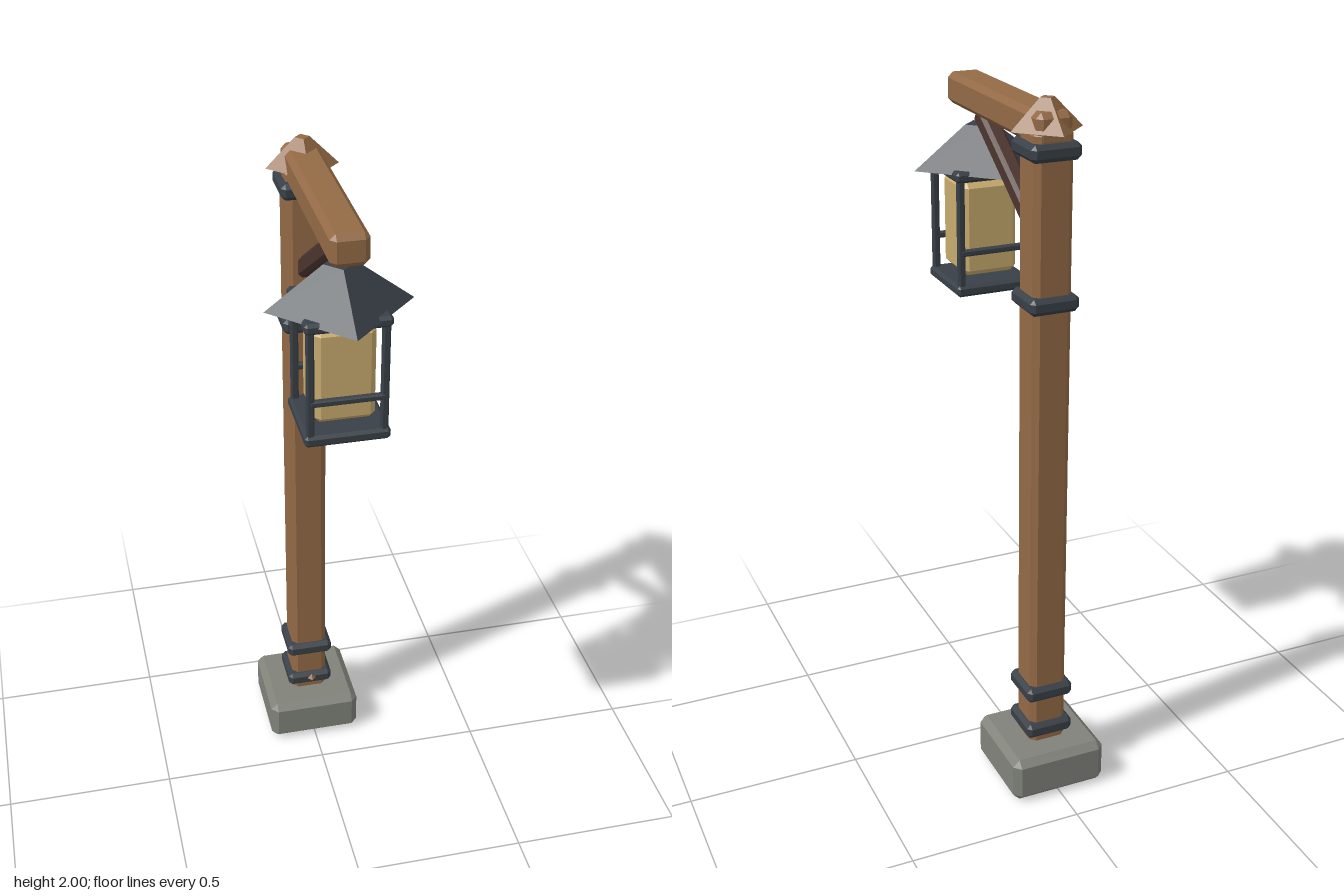
import * as THREE from 'three';
import { ConvexGeometry } from 'three/addons/geometries/ConvexGeometry.js';

const material = (name, color) => {
  const m = new THREE.MeshStandardMaterial({ color, flatShading: true });
  m.name = name;
  return m;
};

// Box with every edge cut by a flat chamfer
function chamferBox(w, h, d, c) {
  const points = [];
  for (const x of [-1, 1]) for (const y of [-1, 1]) for (const z of [-1, 1]) {
    const [a, b, e] = [w / 2, h / 2, d / 2];
    points.push(
      new THREE.Vector3(x * a, y * (b - c), z * (e - c)),
      new THREE.Vector3(x * (a - c), y * b, z * (e - c)),
      new THREE.Vector3(x * (a - c), y * (b - c), z * e)
    );
  }
  return new ConvexGeometry(points);
}

export function createModel() {
  const wood = material('wood', 0x946a46);
  const darkWood = material('dark wood', 0x4c352f);
  const iron = material('iron', 0x394047);
  const stone = material('stone', 0x80827a);
  const glass = material('lamp glass', 0xc8ab6f);

  const model = new THREE.Group();
  model.name = 'lampPost';
  const add = (parent, name, geometry, mat, x, y, z) => {
    const mesh = new THREE.Mesh(geometry, mat);
    mesh.name = name;
    mesh.position.set(x, y, z);
    parent.add(mesh);
    return mesh;
  };

  // Stone foot and wooden post
  const postZ = -0.247;
  add(model, 'foot', chamferBox(0.284, 0.135, 0.284, 0.02), stone, 0, 0.0675, postZ);
  add(model, 'post', chamferBox(0.11, 1.83, 0.11, 0.016), wood, 0, 1.015, postZ);

  // Iron bands round the post
  for (const y of [0.175, 0.297, 1.475, 1.873])
    add(model, 'band', chamferBox(0.14, 0.046, 0.14, 0.012), iron, 0, y, postZ);

  // Small pegs in front of the lowest and highest bands
  for (const y of [0.195, 1.87])
    add(model, 'peg', new THREE.OctahedronGeometry(0.014), wood, 0, y, -0.16);

  // Pointed cap and overhanging beam
  add(model, 'cap', new THREE.CylinderGeometry(0.02, 0.1, 0.08, 4), wood, 0, 1.96, postZ);
  add(model, 'beam', chamferBox(0.1, 0.087, 0.615, 0.015), wood, 0, 1.9275, 0.004);

  // Slanted brace between post and beam
  const brace = add(model, 'brace', chamferBox(0.05, 0.054, 0.45, 0.01), darkWood, 0, 1.762, -0.022);
  brace.rotation.x = -0.575;

  // Hanging lantern
  const lantern = new THREE.Group();
  lantern.name = 'lantern';
  lantern.position.z = 0.193;
  model.add(lantern);
  add(lantern, 'hanger', new THREE.CylinderGeometry(0.01, 0.01, 0.07, 6), iron, 0, 1.865, 0);
  add(lantern, 'roof', new THREE.CylinderGeometry(0.042, 0.193, 0.115, 4), iron, 0, 1.7875, 0);
  add(lantern, 'topFrame', chamferBox(0.226, 0.03, 0.226, 0.008), iron, 0, 1.726, 0);
  add(lantern, 'bottomFrame', chamferBox(0.226, 0.032, 0.226, 0.008), iron, 0, 1.404, 0);
  add(lantern, 'glass', chamferBox(0.16, 0.265, 0.16, 0.015), glass, 0, 1.568, 0);
  for (const s of [-1, 1]) {
    for (const t of [-1, 1])
      add(lantern, 'cornerRod', chamferBox(0.02, 0.32, 0.02, 0.004), iron, s * 0.097, 1.566, t * 0.097);
    add(lantern, 'crossBar', chamferBox(0.2, 0.018, 0.018, 0.004), iron, 0, 1.512, s * 0.099);
  }
  return model;
}
